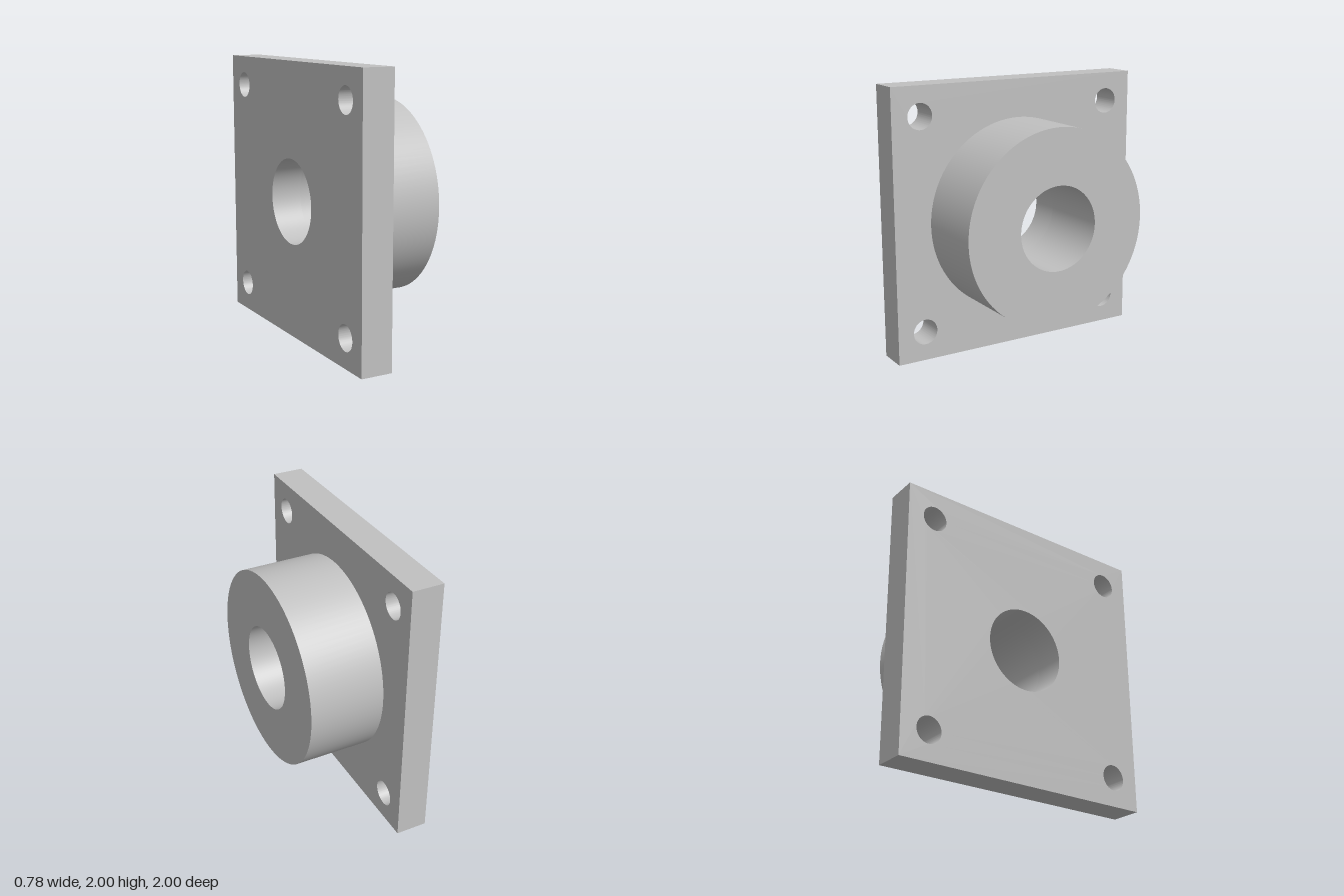
import * as THREE from 'three';
import { toCreasedNormals } from 'three/addons/utils/BufferGeometryUtils.js';

const BACK = -0.39, STEP = -0.16, FRONT = 0.39; // positions along x
const BORE = 0.31, HUB = 0.72, BOLT = 0.094, BOLT_OFFSET = 0.785;

export function createModel() {
  const group = new THREE.Group();
  group.name = 'flangedHub';
  const grey = new THREE.MeshStandardMaterial({ color: 0xc0c0c0 });
  grey.name = 'light grey';

  const add = (name, geometry) => {
    const mesh = new THREE.Mesh(toCreasedNormals(geometry, 0.5), grey);
    mesh.name = name;
    mesh.position.y = 1;
    group.add(mesh);
  };

  // Square plate with the central bore and four bolt holes
  const plate = new THREE.Shape([[-1, -1], [1, -1], [1, 1], [-1, 1]].map(([x, y]) => new THREE.Vector2(x, y)));
  const hole = (x, y, r) => plate.holes.push(new THREE.Path().absarc(x, y, r, 0, Math.PI * 2, true));
  hole(0, 0, BORE);
  for (const x of [-1, 1]) for (const y of [-1, 1]) hole(x * BOLT_OFFSET, y * BOLT_OFFSET, BOLT);
  add('mountingPlate', new THREE.ExtrudeGeometry(plate, { depth: STEP - BACK, bevelEnabled: false, curveSegments: 48 })
    .translate(0, 0, BACK).rotateY(Math.PI / 2));

  // Round hub: outer wall, end face and bore wall
  const profile = [[HUB, STEP], [HUB, FRONT], [BORE, FRONT], [BORE, STEP]].map(([r, h]) => new THREE.Vector2(r, h));
  add('hub', new THREE.LatheGeometry(profile, 96).rotateZ(-Math.PI / 2));

  return group;
}
